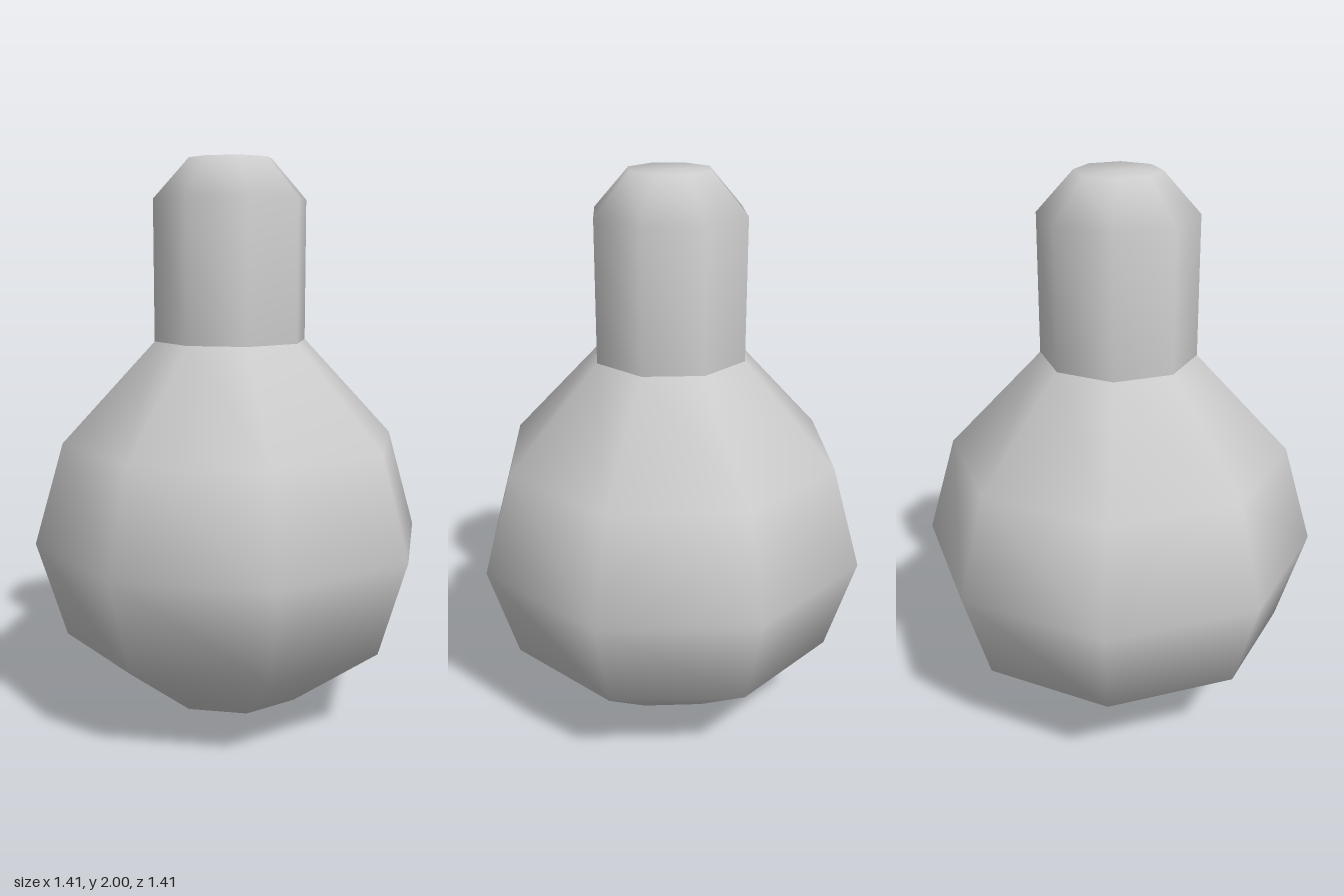
import * as THREE from 'three';

const SIDES = 8;

// Eight-sided smooth solid of revolution from [radius, height] pairs, bottom to top
function turned(name, profile, material) {
  const points = profile.map(([r, y]) => new THREE.Vector2(r, y));
  const mesh = new THREE.Mesh(new THREE.LatheGeometry(points, SIDES), material);
  mesh.name = name;
  return mesh;
}

export function createModel() {
  const group = new THREE.Group();
  group.name = 'flask';
  const material = new THREE.MeshStandardMaterial({ color: 0xcccccc, side: THREE.DoubleSide });

  // Round body, up to the shoulder
  group.add(turned('body', [
    [0, 0], [0.273, 0.073], [0.603, 0.318], [0.707, 0.66], [0.603, 1.018], [0.273, 1.37],
  ], material));

  // Straight neck with a bevelled, closed top; separate so the joint stays sharp
  group.add(turned('neck', [
    [0.273, 1.37], [0.273, 1.86], [0.147, 2], [0, 2],
  ], material));

  return group;
}
